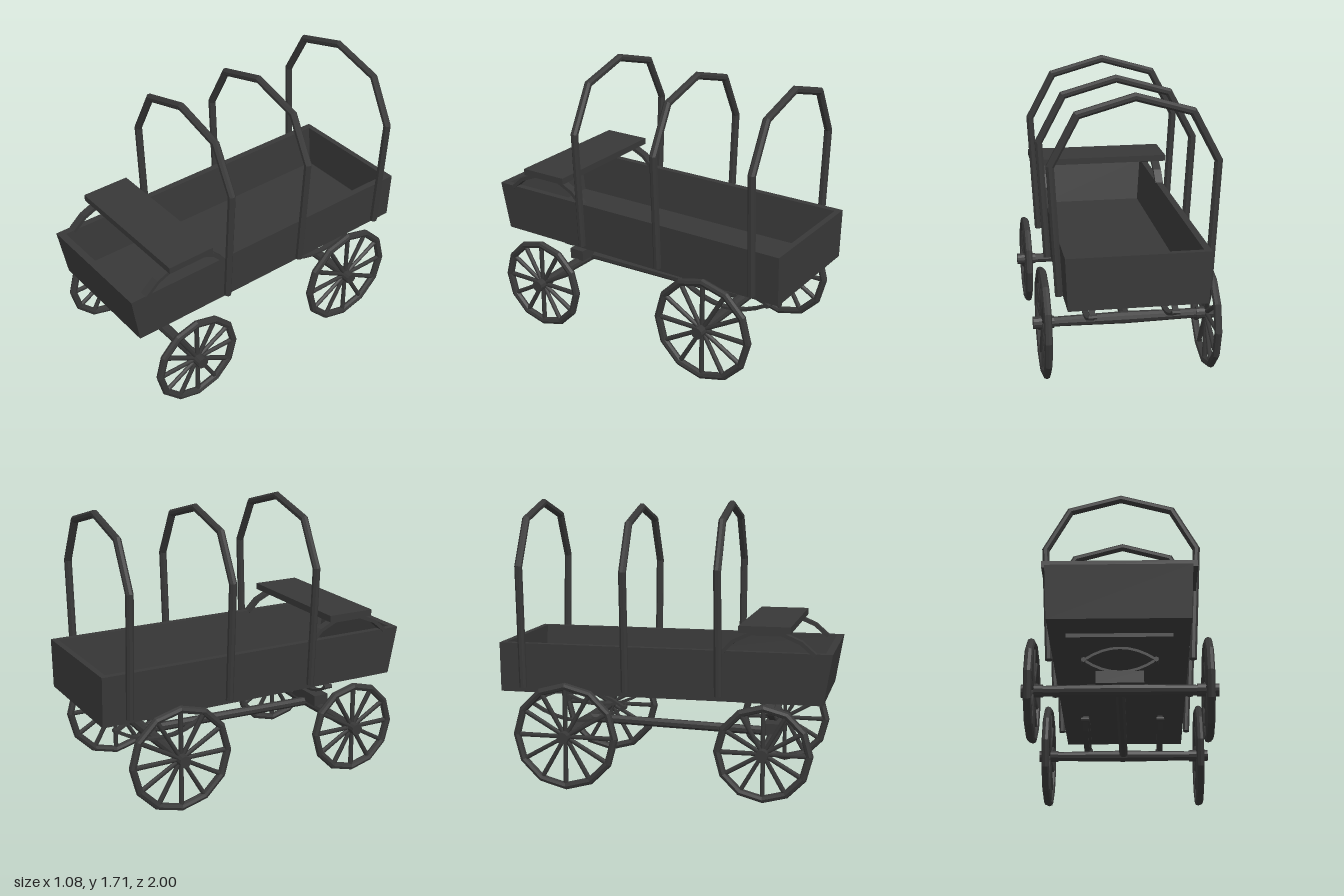
import * as THREE from 'three';

const iron = new THREE.MeshStandardMaterial({ color: 0x383838 });
iron.name = 'charcoal';

// Unshared vertices give crisp facets
function facet(geo) {
  const g = geo.index ? geo.toNonIndexed() : geo;
  g.computeVertexNormals();
  return g;
}

// Skin over a list of rings (each counter-clockwise about the direction of travel), capped at both ends
function loft(rings) {
  const n = rings[0].length, pos = [];
  const tri = (a, b, c) => pos.push(...a, ...b, ...c);
  for (let i = 0; i < rings.length - 1; i++) {
    for (let j = 0; j < n; j++) {
      const k = (j + 1) % n;
      tri(rings[i][j], rings[i][k], rings[i + 1][k]);
      tri(rings[i][j], rings[i + 1][k], rings[i + 1][j]);
    }
  }
  const first = rings[0], last = rings[rings.length - 1];
  for (let j = 1; j < n - 1; j++) {
    tri(first[0], first[j + 1], first[j]);
    tri(last[0], last[j], last[j + 1]);
  }
  const g = new THREE.BufferGeometry();
  g.setAttribute('position', new THREE.Float32BufferAttribute(pos, 3));
  g.computeVertexNormals();
  return g;
}

// Mitred bar along a path in the xy plane; section points are [in-plane offset, depth]
function bar(path, section) {
  const p = path.map(([x, y]) => new THREE.Vector2(x, y));
  return loft(p.map((pt, i) => {
    const a = p[Math.max(i - 1, 0)], b = p[Math.min(i + 1, p.length - 1)];
    const d0 = (i ? pt.clone().sub(a) : b.clone().sub(pt)).normalize();
    const d1 = (i < p.length - 1 ? b.clone().sub(pt) : d0.clone()).normalize();
    const t = d0.clone().add(d1).normalize();
    const m = 1 / t.dot(d0);
    return section.map(([o, z]) => [pt.x - t.y * o * m, pt.y + t.x * o * m, z]);
  }));
}

const round = (r, n = 8) => Array.from({ length: n }, (_, i) => {
  const a = (i + 0.5) / n * Math.PI * 2;
  return [Math.cos(a) * r, Math.sin(a) * r];
});
const strip = (t, w) => [[-t / 2, -w / 2], [t / 2, -w / 2], [t / 2, w / 2], [-t / 2, w / 2]];

function add(parent, name, geo, x = 0, y = 0, z = 0) {
  const m = new THREE.Mesh(geo, iron);
  m.name = name;
  m.position.set(x, y, z);
  parent.add(m);
  return m;
}

// Spoked wheel lying in the xy plane, then turned to roll along z
function makeWheel(name, radius) {
  const wheel = new THREE.Group();
  wheel.name = name;
  wheel.rotation.y = Math.PI / 2;
  const tube = 0.023, mid = radius - tube;
  add(wheel, 'rim', facet(new THREE.TorusGeometry(mid, tube, 8, 12)));
  const hub = add(wheel, 'hub', facet(new THREE.CylinderGeometry(0.036, 0.036, 0.12, 12)));
  hub.rotation.x = Math.PI / 2;
  const spoke = new THREE.CylinderGeometry(0.015, 0.013, mid, 6);
  spoke.translate(0, mid / 2, 0);
  for (let i = 0; i < 12; i++) add(wheel, 'spoke', spoke).rotation.z = i * Math.PI / 6;
  return wheel;
}

// Lens-shaped leaf spring: two bowed strips joined by an eye at each end
function makeSpring(name, half, rise, width) {
  const spring = new THREE.Group();
  spring.name = name;
  for (const s of [-1, 1]) {
    const path = [];
    for (let i = 0; i <= 8; i++) {
      const u = i / 4 - 1;
      path.push([u * half, s * rise * (1 - u * u)]);
    }
    add(spring, 'leaf', bar(path, strip(0.015, width)));
    const eye = add(spring, 'eye', facet(new THREE.CylinderGeometry(0.015, 0.015, width + 0.015, 8)), s * half);
    eye.rotation.x = Math.PI / 2;
  }
  return spring;
}

export function createModel() {
  const wagon = new THREE.Group();
  wagon.name = 'wagon';

  // Open box body with flared walls and raked front
  const ring = (x, y, front, back) => [[-x, y, front], [x, y, front], [x, y, back], [-x, y, back]];
  add(wagon, 'body', loft([
    ring(0.388, 0.575, 0.95, -1), ring(0.4, 0.875, 1, -1),
    ring(0.36, 0.875, 0.957, -0.965), ring(0.333, 0.605, 0.9, -0.965),
  ]));

  // Cover hoops
  for (const [z, top] of [[0.345, 1.7], [-0.213, 1.678], [-0.847, 1.7]]) {
    const drop = top - 1.7;
    const side = [[0.418, 0.61], [0.457, 1.34 + drop], [0.312, 1.612 + drop]];
    const path = [...side, [0, top], ...side.map(([x, y]) => [-x, y]).reverse()];
    add(wagon, 'coverHoop', bar(path, round(0.023)), 0, 0, z);
  }

  // Driver's seat on two bowed supports
  add(wagon, 'seat', new THREE.BoxGeometry(0.88, 0.04, 0.3), 0, 1.01, 0.615);
  const bow = [[-0.9, 0.865], [-0.82, 0.935], [-0.71, 0.982], [-0.53, 0.982], [-0.43, 0.935], [-0.36, 0.865]];
  for (const s of [-1, 1]) {
    add(wagon, 'seatSupport', bar(bow, strip(0.022, 0.05)), s * 0.38).rotation.y = Math.PI / 2;
  }

  // Wheels and axles
  for (const [end, z, y, r] of [['front', 0.621, 0.3, 0.29], ['rear', -0.564, 0.336, 0.326]]) {
    for (const [side, s] of [['Left', 1], ['Right', -1]]) {
      const wheel = makeWheel(`${end}${side}Wheel`, r);
      wheel.position.set(s * 0.48, y, z);
      wagon.add(wheel);
      const half = facet(new THREE.CylinderGeometry(0.028, 0.036, 0.46, 10));
      add(wagon, `${end}${side}Axle`, half, s * 0.23, y, z).rotation.z = -s * Math.PI / 2;
    }
  }

  // Reach pole between the axles
  add(wagon, 'reachPole', bar([[-0.62, 0.318], [0.564, 0.345]], round(0.028))).rotation.y = Math.PI / 2;

  // Front bolster, cross spring and mounting plate
  add(wagon, 'bolster', new THREE.BoxGeometry(0.265, 0.07, 0.1), 0, 0.36, 0.621);
  add(wagon, 'mountingPlate', new THREE.BoxGeometry(0.585, 0.025, 0.3), 0, 0.565, 0.62);
  const crossSpring = makeSpring('frontSpring', 0.2, 0.072, 0.04);
  crossSpring.position.set(0, 0.475, 0.621);
  wagon.add(crossSpring);

  // Rear springs along both sides
  for (const s of [-1, 1]) {
    const spring = makeSpring('rearSpring', 0.295, 0.097, 0.033);
    spring.rotation.y = Math.PI / 2;
    spring.position.set(s * 0.235, 0.475, -0.564);
    wagon.add(spring);
  }

  return wagon;
}
